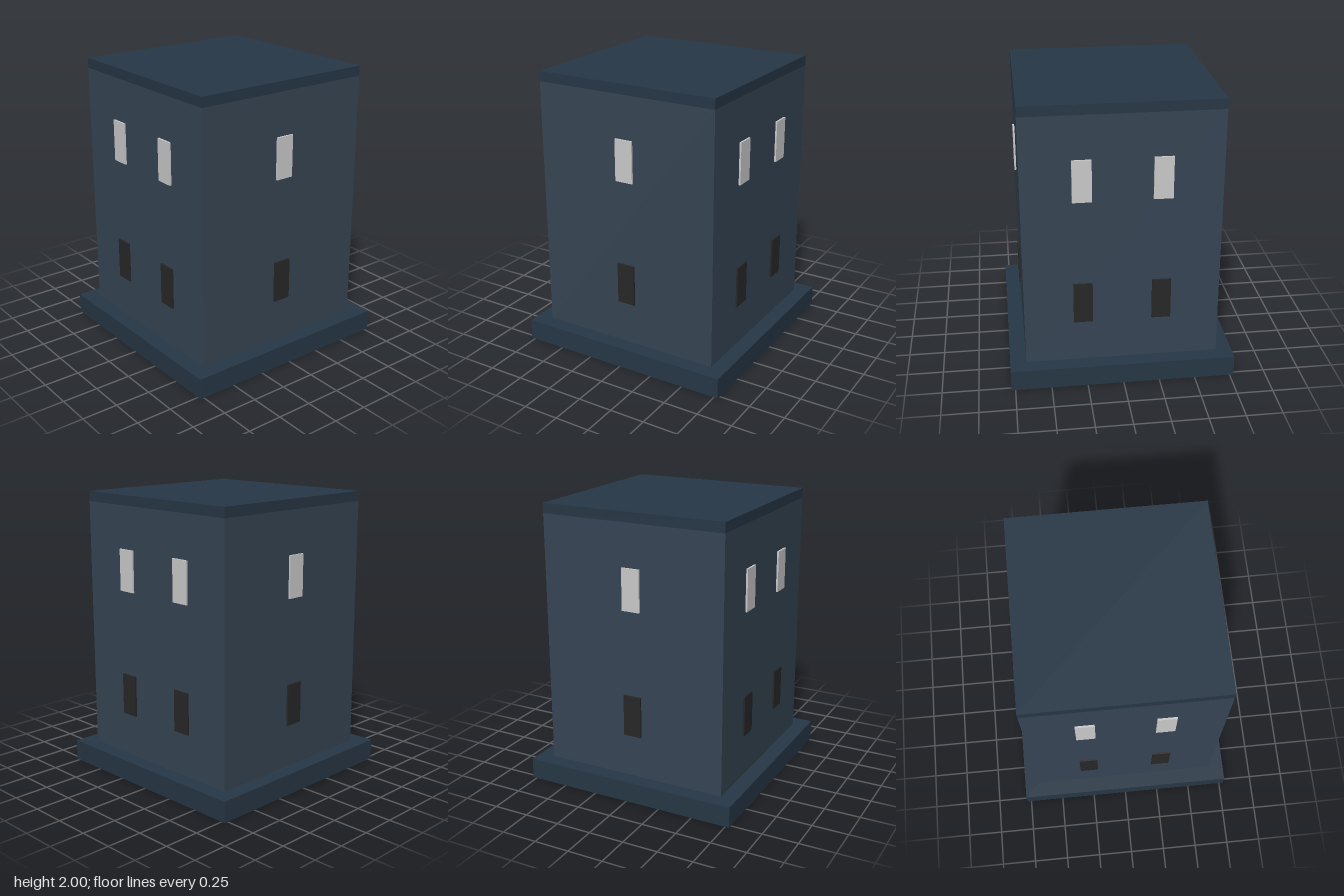
import * as THREE from 'three';

export function createModel() {
  const group = new THREE.Group();
  const wall = new THREE.MeshStandardMaterial({ color: 0x364554 });
  const trim = new THREE.MeshStandardMaterial({ color: 0x273746 });
  const lit = new THREE.MeshStandardMaterial({ color: 0xcccccc });
  const dark = new THREE.MeshStandardMaterial({ color: 0x282828 });

  const HALF = 0.667; // half width of the tower

  function box(name, material, w, h, d, x, y, z) {
    const mesh = new THREE.Mesh(new THREE.BoxGeometry(w, h, d), material);
    mesh.name = name;
    mesh.position.set(x, y, z);
    group.add(mesh);
  }

  // Plinth, walls and roof slab, stacked from the ground up
  box('base', trim, 1.556, 0.147, 1.556, 0, 0.0735, 0);
  box('walls', wall, HALF * 2, 1.783, HALF * 2, 0, 1.0385, 0);
  box('roof', trim, HALF * 2, 0.07, HALF * 2, 0, 1.965, 0);

  // Window panels standing slightly proud of the walls: two front and back, one on each side
  const floors = [
    { name: 'lowerWindow', y: 0.595, material: dark },
    { name: 'upperWindow', y: 1.485, material: lit },
  ];
  for (const { name, y, material } of floors) {
    for (const s of [-1, 1]) {
      for (const x of [-0.267, 0.267]) {
        box(name, material, 0.13, 0.292, 0.026, x, y, s * HALF);
      }
      box(name, material, 0.026, 0.292, 0.13, s * HALF, y, 0);
    }
  }

  return group;
}
